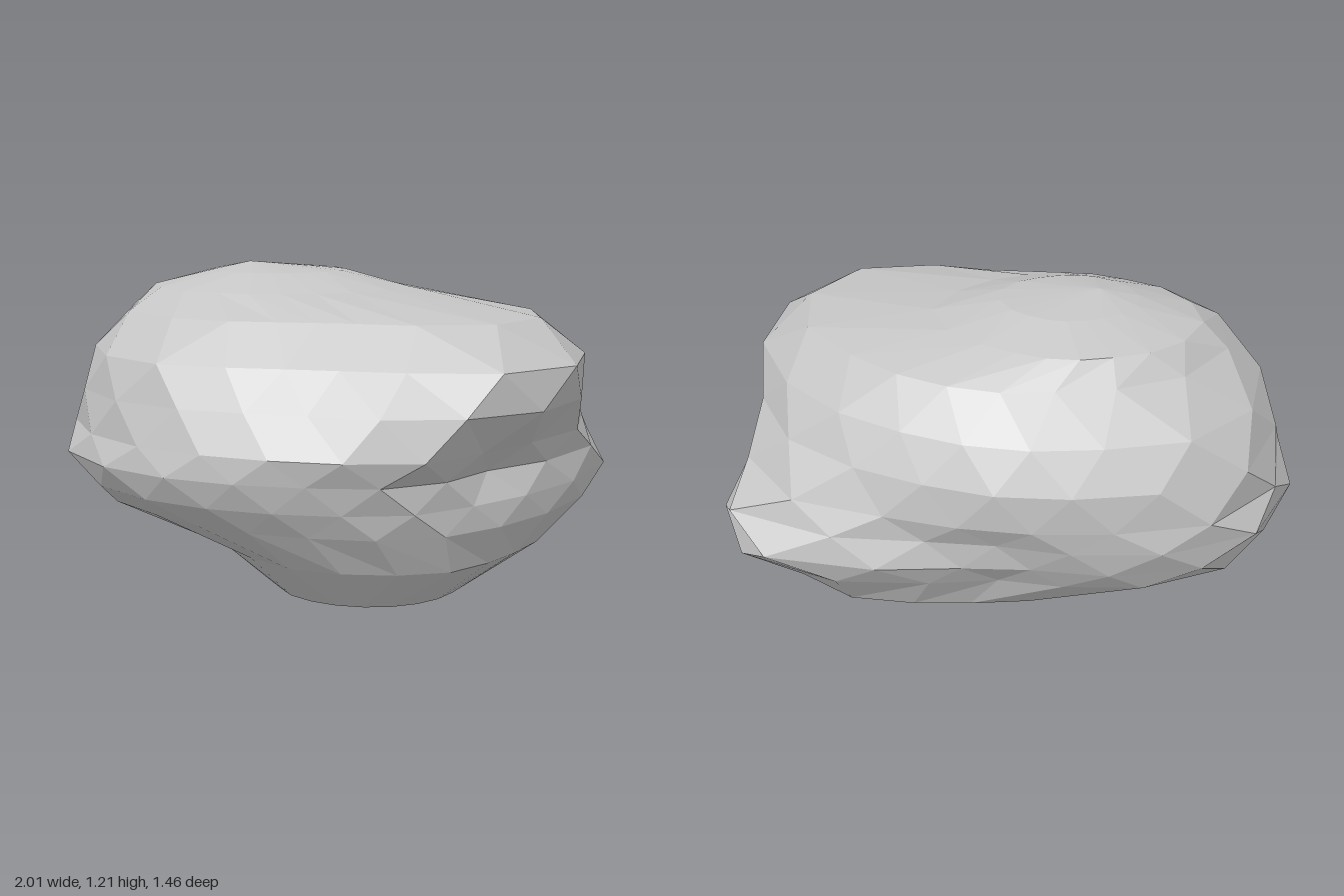
import * as THREE from 'three';

const SIDES = 18;

// Horizontal sections from bottom to top: height, optional centre, then
// evenly spaced radii turning from +x (left) towards +z (front)
const SECTIONS = [
  { y: 0.05, cx: 0.17, cz: 0.14, r: [0.31, 0.28, 0.29, 0.34, 0.35, 0.42] },
  { y: 0.20, cx: 0.20, r: [0.56, 0.51, 0.55, 0.55, 0.57, 0.57, 0.62, 0.66, 0.60, 0.56, 0.65, 0.68] },
  { y: 0.34, r: [0.86, 0.74, 0.70, 0.62, 0.62, 0.67, 0.83, 0.90, 0.71, 0.60, 0.76, 1.06] },
  // swelling low on the back corner
  { y: 0.43, r: [0.89, 0.73, 0.72, 0.67, 0.70, 0.80, 0.92, 0.96, 0.77, 0.65, 0.82, 1.11] },
  // undercut hollow on the front corner
  { y: 0.53, r: [0.88, 0.68, 0.74, 0.70, 0.74, 0.86, 0.99, 1.01, 0.80, 0.67, 0.77, 1.09] },
  { y: 0.62, r: [0.90, 0.75, 0.80, 0.72, 0.73, 0.83, 0.95, 0.99, 0.80, 0.72, 0.77, 0.98] },
  // overhanging ledge
  { y: 0.76, r: [0.92, 0.90, 0.78, 0.63, 0.67, 0.81, 0.92, 0.96, 0.79, 0.72, 0.73, 0.86] },
  { y: 0.90, r: [0.92, 0.92, 0.65, 0.53, 0.59, 0.77, 0.87, 0.88, 0.71, 0.65, 0.66, 0.77] },
  { y: 1.04, r: [0.77, 0.71, 0.46, 0.38, 0.43, 0.60, 0.76, 0.70, 0.55, 0.52, 0.54, 0.62] },
  { y: 1.12, cx: -0.20, cz: -0.10, r: [0.48, 0.41, 0.35, 0.34, 0.35, 0.42, 0.46, 0.40, 0.33, 0.32, 0.33, 0.40] },
  { y: 1.18, cx: -0.20, cz: -0.08, r: [0.25, 0.18, 0.19, 0.24, 0.18, 0.19] },
];

// Smooth periodic interpolation of a section's radii; turn runs from 0 to 1
function radiusAt(r, turn) {
  const n = r.length, t = turn * n;
  const i = Math.floor(t), f = t - i;
  const p = (k) => r[(i + k + n) % n];
  const m0 = (p(1) - p(-1)) / 2, m1 = (p(2) - p(0)) / 2;
  const f2 = f * f, f3 = f2 * f;
  return (2 * f3 - 3 * f2 + 1) * p(0) + (f3 - 2 * f2 + f) * m0 + (3 * f2 - 2 * f3) * p(1) + (f3 - f2) * m1;
}

function boulderGeometry() {
  const positions = [], index = [];

  // Rings of corners, every other ring turned by half a step
  SECTIONS.forEach(({ y, cx = 0, cz = 0, r }, k) => {
    for (let j = 0; j < SIDES; j++) {
      const turn = (j + (k % 2 ? 0 : 0.5)) / SIDES;
      const a = turn * Math.PI * 2;
      const d = radiusAt(r, turn);
      positions.push(cx + d * Math.cos(a), y, cz + d * Math.sin(a));
    }
  });
  const bottom = SECTIONS.length * SIDES, top = bottom + 1;
  positions.push(0.18, 0, 0.16, -0.30, 1.21, -0.06);

  // Triangles between neighbouring rings
  const at = (k, j) => k * SIDES + (j % SIDES);
  for (let k = 0; k < SECTIONS.length - 1; k++) {
    for (let j = 0; j < SIDES; j++) {
      const l0 = at(k, j), l1 = at(k, j + 1), u0 = at(k + 1, j), u1 = at(k + 1, j + 1);
      if (k % 2) index.push(l0, u0, l1, u0, u1, l1);
      else index.push(l0, u0, u1, l0, u1, l1);
    }
  }

  // Closing fans
  const last = SECTIONS.length - 1;
  for (let j = 0; j < SIDES; j++) {
    index.push(bottom, at(0, j), at(0, j + 1));
    index.push(at(last, j), top, at(last, j + 1));
  }

  const indexed = new THREE.BufferGeometry();
  indexed.setAttribute('position', new THREE.Float32BufferAttribute(positions, 3));
  indexed.setIndex(index);
  const geometry = indexed.toNonIndexed();
  geometry.computeVertexNormals();
  return geometry;
}

export function createModel() {
  const group = new THREE.Group();
  group.name = 'rock';
  const stone = new THREE.MeshStandardMaterial({ color: 0xc4c4c4, flatShading: true });
  stone.name = 'stone grey';
  const boulder = new THREE.Mesh(boulderGeometry(), stone);
  boulder.name = 'boulder';
  group.add(boulder);
  return group;
}
